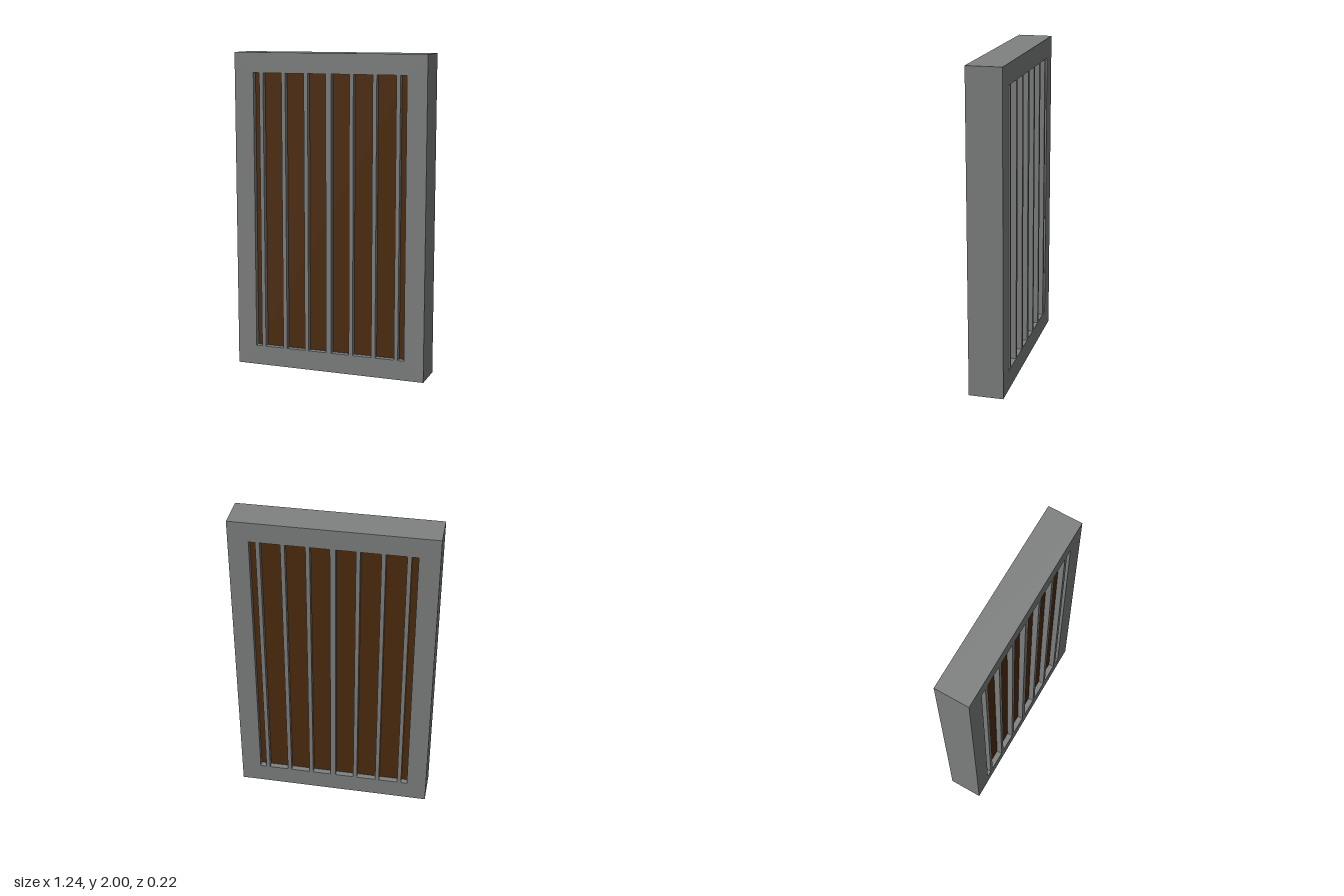
import * as THREE from 'three';

const WIDTH = 1.24, HEIGHT = 2, DEPTH = 0.216;
const OPEN_X = 0.495, OPEN_BOTTOM = 0.125, OPEN_TOP = 1.875;
const RECESS = 0.035;

export function createModel() {
  const group = new THREE.Group();
  const stone = new THREE.MeshStandardMaterial({ name: 'grey', color: 0x808281 });
  const wood = new THREE.MeshStandardMaterial({ name: 'brown', color: 0x4f2d0d });

  const add = (name, geometry, material, x, y, z) => {
    const mesh = new THREE.Mesh(geometry, material);
    mesh.name = name;
    mesh.position.set(x, y, z);
    group.add(mesh);
  };

  const rectangle = (target, x, bottom, top) => target
    .moveTo(-x, bottom).lineTo(x, bottom).lineTo(x, top).lineTo(-x, top).closePath();

  // Outer frame with a rectangular opening
  const outline = rectangle(new THREE.Shape(), WIDTH / 2, 0, HEIGHT);
  outline.holes.push(rectangle(new THREE.Path(), OPEN_X, OPEN_BOTTOM, OPEN_TOP));
  add('frame', new THREE.ExtrudeGeometry(outline, { depth: DEPTH, bevelEnabled: false }),
    stone, 0, 0, -DEPTH / 2);

  // Recessed panel filling the opening
  const openHeight = OPEN_TOP - OPEN_BOTTOM;
  const panelDepth = DEPTH - 2 * RECESS;
  add('panel', new THREE.BoxGeometry(2 * OPEN_X, openHeight, panelDepth), wood, 0, HEIGHT / 2, 0);

  // Seven upright bars on each face, the middle one wider
  for (const side of [1, -1]) {
    for (let i = -3; i <= 3; i++) {
      const width = i === 0 ? 0.034 : 0.025;
      add(side > 0 ? 'frontBar' : 'backBar', new THREE.BoxGeometry(width, openHeight, RECESS),
        stone, i * 0.1475, HEIGHT / 2, side * (DEPTH - RECESS) / 2);
    }
  }
  return group;
}
